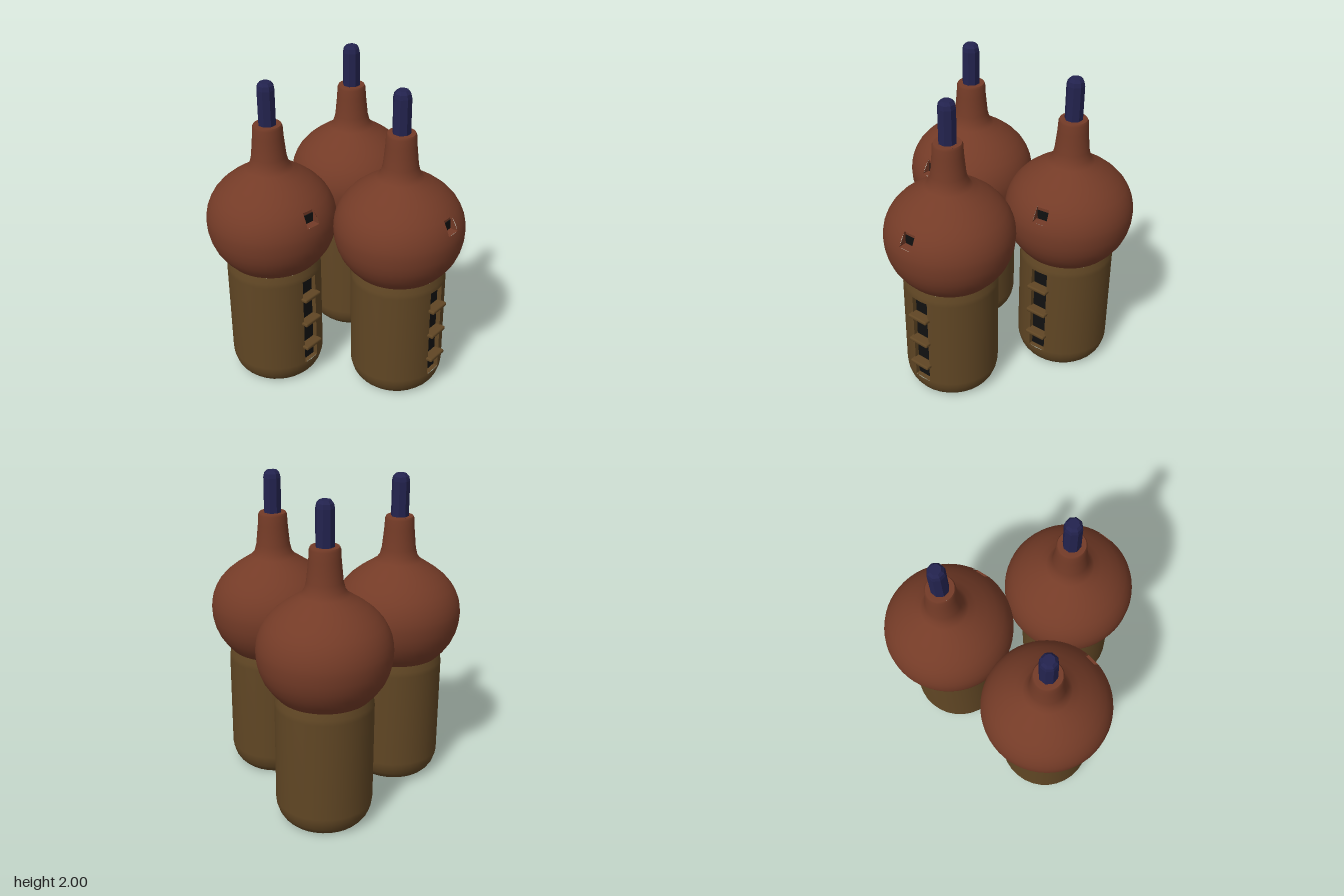
import * as THREE from 'three';
import { RoundedBoxGeometry } from 'three/addons/geometries/RoundedBoxGeometry.js';

const clay = new THREE.MeshStandardMaterial({ color: 0x743b27 });
const ochre = new THREE.MeshStandardMaterial({ color: 0x604624 });
const indigo = new THREE.MeshStandardMaterial({ color: 0x23234f });
const black = new THREE.MeshStandardMaterial({ color: 0x101010 });

// Profiles as [radius, height]
const bodyProfile = [[0.24, 0], [0.262, 0.022], [0.28, 0.05], [0.294, 0.09], [0.3, 0.13],
  [0.3, 0.76], [0.296, 0.79], [0.285, 0.83]];
const bulbProfile = [[0.285, 0.83], [0.325, 0.875], [0.362, 0.93], [0.387, 0.99], [0.401, 1.05],
  [0.405, 1.11], [0.402, 1.15], [0.393, 1.195], [0.375, 1.24], [0.349, 1.285], [0.305, 1.335],
  [0.25, 1.38], [0.19, 1.42], [0.145, 1.45], [0.12, 1.48], [0.107, 1.53], [0.1, 1.6],
  [0.094, 1.66], [0.091, 1.72], [0.084, 1.735]];
const rodProfile = [[0.056, 1.68], [0.056, 1.955], [0.05, 1.982], [0.034, 2], [0, 2]];

const toPoints = (profile) => profile.map(([r, y]) => new THREE.Vector2(r, y));

function add(parent, name, geometry, material) {
  const mesh = new THREE.Mesh(geometry, material);
  mesh.name = name;
  parent.add(mesh);
  return mesh;
}

// Lathe with an opening two segments wide at the front, between profile rows
function openLathe(profile, segments, rowStart, rowEnd) {
  const geometry = new THREE.LatheGeometry(toPoints(profile), segments);
  const rows = profile.length - 1;
  const index = Array.from(geometry.index.array).filter((_, k) => {
    const quad = Math.floor(k / 6);
    const column = Math.floor(quad / rows), row = quad % rows;
    const atFront = column === 0 || column === segments - 1;
    return !(atFront && row >= rowStart && row < rowEnd);
  });
  geometry.setIndex(index);
  return geometry;
}

// Inward-facing box without a front, fitted to the rim of an opening
function niche([r0, y0], [r1, y1], angle, back) {
  const geometry = new THREE.BoxGeometry(1, 1, 1);
  const p = geometry.attributes.position;
  for (let i = 0; i < p.count; i++) {
    const top = p.getY(i) > 0;
    const r = top ? r1 : r0;
    const z = p.getZ(i) > 0 ? r * Math.cos(angle) : back;
    p.setXYZ(i, Math.sign(p.getX(i)) * r * Math.sin(angle), top ? y1 : y0, z);
  }
  const index = Array.from(geometry.index.array);
  index.splice(24, 6);
  geometry.setIndex(index.reverse());
  geometry.clearGroups();
  geometry.computeVertexNormals();
  return geometry;
}

function createTower(x, z, windowTurn) {
  const tower = new THREE.Group();
  tower.name = 'tower';
  tower.position.set(x, 0, z);

  // Cylindrical body with a tall recessed window
  add(tower, 'body', openLathe(bodyProfile, 32, 4, 5), ochre);
  add(tower, 'bodyBase', new THREE.CircleGeometry(0.24, 32).rotateX(Math.PI / 2), ochre);
  add(tower, 'tallWindowRecess', niche(bodyProfile[4], bodyProfile[5], Math.PI * 2 / 32, 0.255), ochre);
  add(tower, 'tallWindowPane', new THREE.BoxGeometry(0.116, 0.628, 0.008), black)
    .position.set(0, 0.445, 0.26);

  // Rungs across the tall window
  for (const y of [0.26, 0.445, 0.63]) {
    add(tower, 'rung', new RoundedBoxGeometry(0.145, 0.026, 0.07, 2, 0.01), ochre)
      .position.set(0, y, 0.295);
  }

  // Bulb and neck with a small recessed window
  const bulb = new THREE.Group();
  bulb.name = 'upperBulb';
  bulb.rotation.y = windowTurn;
  tower.add(bulb);
  add(bulb, 'bulb', openLathe(bulbProfile, 54, 7, 9), clay);
  add(bulb, 'smallWindowRecess', niche(bulbProfile[7], bulbProfile[9], Math.PI * 2 / 54, 0.335), clay);
  add(bulb, 'smallWindowPane', new THREE.BoxGeometry(0.08, 0.058, 0.006), black)
    .position.set(0, 1.228, 0.339);
  const rim = add(bulb, 'neckRim', new THREE.RingGeometry(0.04, 0.084, 54), clay);
  rim.rotation.x = -Math.PI / 2;
  rim.position.y = 1.735;

  // Faceted rod rising from the neck
  const rod = new THREE.LatheGeometry(toPoints(rodProfile), 8).toNonIndexed();
  rod.computeVertexNormals();
  add(tower, 'rod', rod, indigo).rotation.y = Math.PI / 8;
  return tower;
}

export function createModel() {
  const model = new THREE.Group();
  model.name = 'towerCluster';
  model.add(createTower(0, 0.345, 0));
  for (const side of [-1, 1]) model.add(createTower(side * 0.398, -0.348, side * 0.125));
  return model;
}
